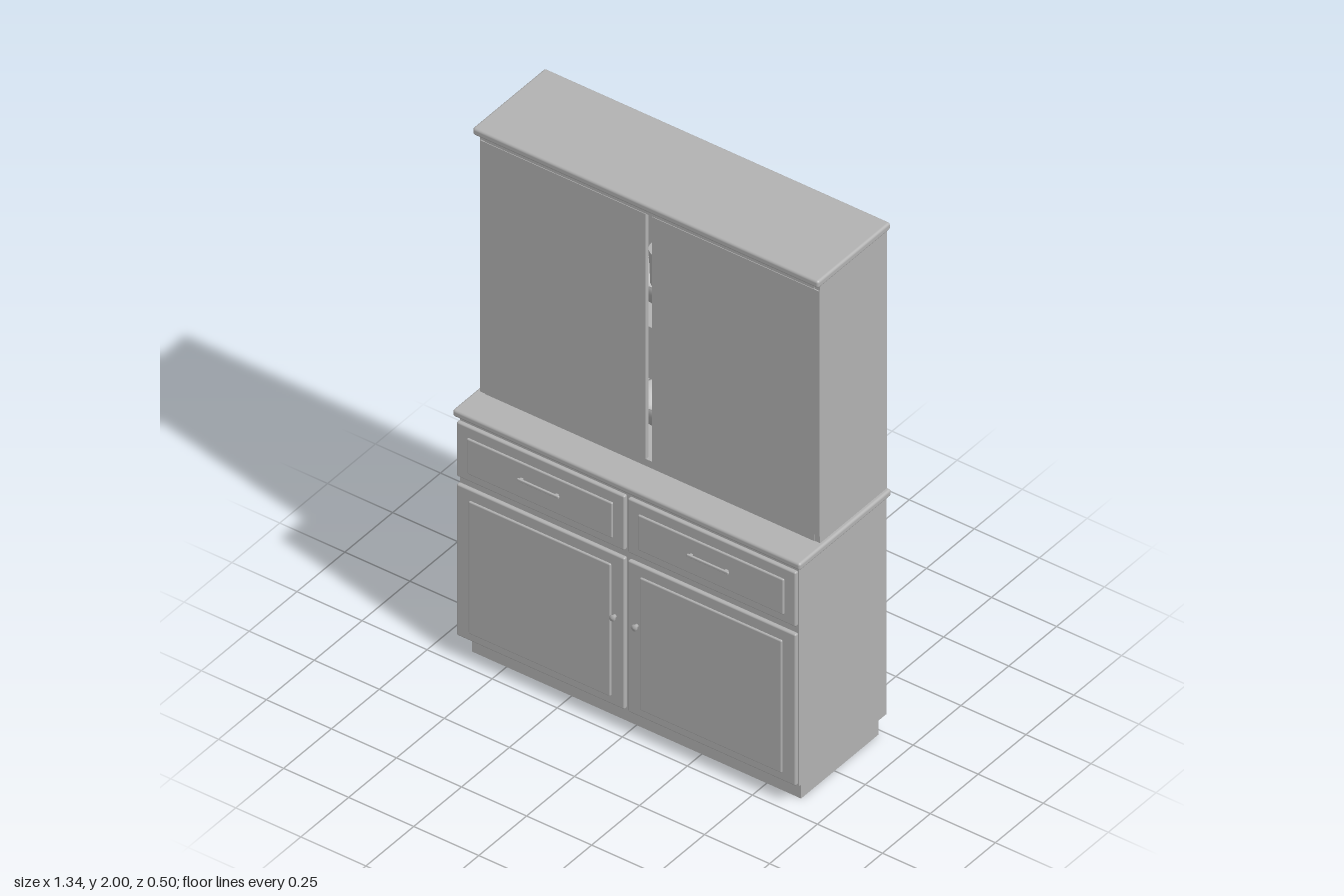
import * as THREE from 'three';
import { RoundedBoxGeometry } from 'three/addons/geometries/RoundedBoxGeometry.js';

export function createModel() {
  const model = new THREE.Group();
  model.name = 'hutchCabinet';
  const grey = new THREE.MeshStandardMaterial({ color: 0xb2b2b2 });
  grey.name = 'plain grey';

  function add(name, geometry, parent = model) {
    const mesh = new THREE.Mesh(geometry, grey);
    mesh.name = name;
    parent.add(mesh);
    return mesh;
  }
  // Box given by its minimum and maximum on each axis; r rounds the edges
  function box(name, x0, x1, y0, y1, z0, z1, r = 0, parent = model) {
    const size = [x1 - x0, y1 - y0, z1 - z0];
    const g = r ? new RoundedBoxGeometry(...size, 3, r) : new THREE.BoxGeometry(...size);
    const mesh = add(name, g, parent);
    mesh.position.set((x0 + x1) / 2, (y0 + y1) / 2, (z0 + z1) / 2);
    return mesh;
  }

  // Base cabinet
  box('plinth', -0.632, 0.632, 0, 0.08, -0.23, 0.175);
  box('baseBody', -0.652, 0.652, 0.08, 0.937, -0.245, 0.212);
  box('counterTop', -0.668, 0.668, 0.935, 0.962, -0.25, 0.23, 0.009);

  // A front with a raised centre panel
  function panelFront(name, x0, x1, y0, y1, inset, parent) {
    box(name, x0, x1, y0, y1, 0.214, 0.231, 0.006, parent);
    box(name + 'Panel', x0 + inset, x1 - inset, y0 + 0.032, y1 - 0.042, 0.225, 0.237, 0.005, parent);
  }

  for (const s of [-1, 1]) {
    const side = new THREE.Group();
    side.name = s > 0 ? 'leftFronts' : 'rightFronts';
    model.add(side);
    const span = s > 0 ? [0.006, 0.652] : [-0.652, -0.006];
    panelFront('drawer', ...span, 0.71, 0.922, 0.043, side);
    panelFront('door', ...span, 0.09, 0.68, 0.05, side);

    // Drawer pull: a slim bar with two short stems
    const cx = 0.326 * s;
    box('drawerPull', cx - 0.08, cx + 0.08, 0.814, 0.824, 0.242, 0.25, 0.003, side);
    for (const e of [-0.068, 0.068]) {
      box('pullStem', cx + e - 0.005, cx + e + 0.005, 0.815, 0.823, 0.234, 0.246, 0, side);
    }

    // Door knob
    const profile = [[0, 0], [0.007, 0], [0.007, 0.012], [0.011, 0.015], [0.011, 0.02], [0, 0.022]]
      .map(([x, y]) => new THREE.Vector2(x, y));
    const knob = add('doorKnob', new THREE.LatheGeometry(profile, 20), side);
    knob.rotation.x = Math.PI / 2;
    knob.position.set(0.042 * s, 0.441, 0.228);

    // Upper side panel
    const xs = s > 0 ? [0.63, 0.654] : [-0.654, -0.63];
    box('upperSide', ...xs, 0.96, 1.975, -0.245, 0.105, 0, side);
  }

  // Upper cabinet shell
  box('upperBack', -0.63, 0.63, 0.96, 1.975, -0.245, -0.23);
  box('upperShelf', -0.63, 0.63, 1.45, 1.466, -0.23, 0.06);
  box('lowerRail', -0.632, 0.632, 0.96, 0.989, -0.23, 0.107);
  box('upperRail', -0.632, 0.632, 1.945, 1.975, -0.23, 0.107);
  box('cornice', -0.665, 0.665, 1.972, 2, -0.25, 0.13, 0.009);

  // Tall upper doors with a narrow gap between them
  box('upperDoorRight', -0.65, -0.014, 0.989, 1.945, 0.095, 0.109);
  box('upperDoorLeft', 0.01, 0.652, 0.989, 1.945, 0.095, 0.109);

  // Bowls and cups standing on the shelf and cabinet floor
  const bowl = [[0, 0], [0.04, 0], [0.06, 0.02], [0.085, 0.07], [0.09, 0.1], [0.082, 0.1], [0.055, 0.03], [0, 0.015]]
    .map(([x, y]) => new THREE.Vector2(x, y));
  for (const y of [0.989, 1.466]) {
    for (const x of [-0.42, -0.09, 0.3]) {
      add('bowl', new THREE.LatheGeometry(bowl, 24)).position.set(x, y, -0.08);
    }
  }
  // Cup handle beside the middle bowl
  const handle = add('cupHandle', new THREE.TorusGeometry(0.035, 0.006, 8, 20, Math.PI));
  handle.rotation.z = -Math.PI / 2;
  handle.position.set(-0.03, 1.6, -0.08);
  add('cup', new THREE.CylinderGeometry(0.05, 0.045, 0.13, 24)).position.set(-0.08, 1.6, -0.08);

  return model;
}
